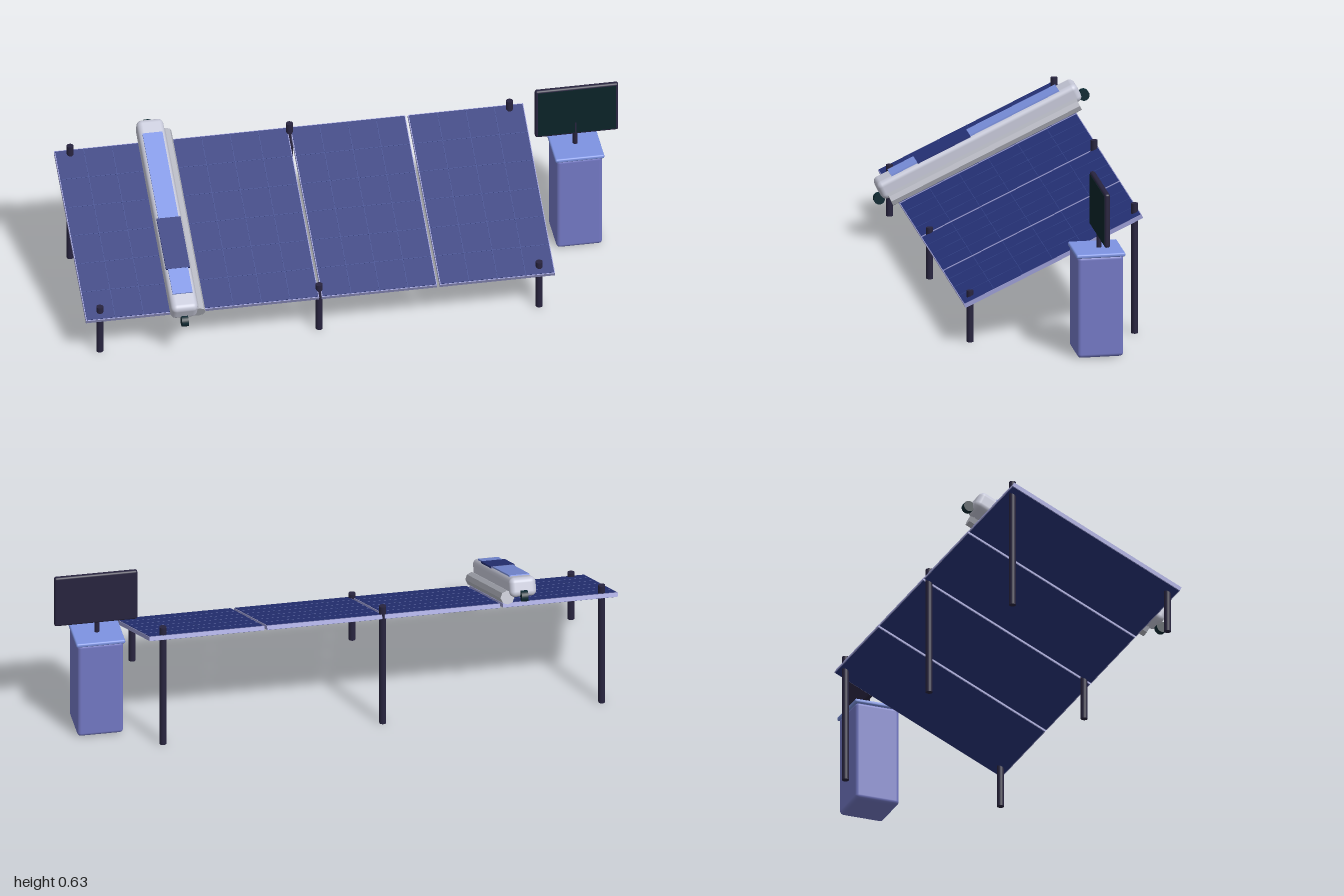
import * as THREE from 'three';
import { RoundedBoxGeometry } from 'three/addons/geometries/RoundedBoxGeometry.js';

const mat = (name, color) => {
  const m = new THREE.MeshStandardMaterial({ color });
  m.name = name;
  return m;
};

export function createModel() {
  const navy = mat('cell navy', 0x27337a);
  const line = mat('cell line blue', 0x35468f);
  const lavender = mat('frame lavender', 0x9a9cd2);
  const silver = mat('shell silver', 0xc6c8d8);
  const grey = mat('brush grey', 0xb2b4be);
  const blue = mat('cover blue', 0x7d93e2);
  const violet = mat('cabinet violet', 0x7378c4);
  const dark = mat('post dark', 0x28243f);
  const teal = mat('wheel teal', 0x0e2a33);
  const black = mat('screen black', 0x0a2328);

  const add = (parent, name, geo, material, x, y, z) => {
    const m = new THREE.Mesh(geo, material);
    m.name = name;
    m.position.set(x, y, z);
    parent.add(m);
    return m;
  };
  const box = (w, h, d) => new THREE.BoxGeometry(w, h, d);
  const round = (w, h, d, r) => new RoundedBoxGeometry(w, h, d, 4, r);

  const model = new THREE.Group();
  model.name = 'solarArray';

  // Everything lying on the slope; y = 0 here is the panel underside
  const slope = new THREE.Group();
  slope.name = 'slope';
  slope.position.set(0, 0.289, -0.017);
  slope.rotation.x = THREE.MathUtils.degToRad(25);
  model.add(slope);

  // Four panels: frame, cell sheets on both faces, fine cell lines
  const W = 0.415, L = 0.706, cw = 0.409, cl = 0.7;
  for (let i = 0; i < 4; i++) {
    const panel = new THREE.Group();
    panel.name = 'panel';
    panel.position.x = -1 + W / 2 + i * 0.425;
    slope.add(panel);
    add(panel, 'panelFrame', box(W, 0.015, L), lavender, 0, 0.0085, 0);
    add(panel, 'cellSheet', box(cw, 0.002, cl), navy, 0, 0.0165, 0);
    add(panel, 'backSheet', box(cw, 0.002, cl), navy, 0, 0.001, 0);
    for (let c = 1; c < 4; c++)
      add(panel, 'cellLine', box(0.0018, 0.001, cl), line, (c / 4 - 0.5) * cw, 0.0176, 0);
    for (let r = 1; r < 6; r++)
      add(panel, 'cellLine', box(cw, 0.001, 0.0018), line, 0, 0.0176, (r / 6 - 0.5) * cl);
  }

  // Cleaning robot across the panels
  const robot = new THREE.Group();
  robot.name = 'cleaningRobot';
  robot.position.x = -0.656;
  slope.add(robot);
  add(robot, 'robotShell', round(0.097, 0.07, 0.795, 0.02), silver, 0, 0.072, 0);
  add(robot, 'topCover', box(0.072, 0.008, 0.667), blue, 0, 0.107, 0);
  add(robot, 'topSolarStrip', box(0.086, 0.007, 0.21), navy, 0, 0.1085, 0.125);
  const brush = add(robot, 'brush', new THREE.CylinderGeometry(0.025, 0.025, 0.75, 8).toNonIndexed(), grey, 0.056, 0.037, 0);
  brush.geometry.computeVertexNormals();
  brush.rotation.x = Math.PI / 2;
  for (const s of [-1, 1]) {
    const wheel = add(robot, 'wheel', new THREE.CylinderGeometry(0.02, 0.02, 0.024, 24), teal, 0, 0.041, s * 0.407);
    wheel.rotation.z = Math.PI / 2;
  }

  // Short front posts and tall back posts
  for (const x of [-0.945, -0.155, 0.638])
    for (const [name, z, h] of [['frontPost', 0.278, 0.189], ['backPost', -0.315, 0.48]])
      add(model, name, new THREE.CylinderGeometry(0.0125, 0.0125, h, 20), dark, x, h / 2, z);

  // Control cabinet with lid, stem and display
  const cabinet = new THREE.Group();
  cabinet.name = 'controlCabinet';
  cabinet.position.set(0.845, 0, -0.14);
  model.add(cabinet);
  add(cabinet, 'cabinetBody', round(0.166, 0.375, 0.166, 0.014), violet, 0, 0.19, 0);
  add(cabinet, 'cabinetLid', round(0.177, 0.015, 0.177, 0.006), blue, 0, 0.38, 0);
  add(cabinet, 'displayStem', new THREE.CylinderGeometry(0.009, 0.009, 0.1, 16), dark, 0, 0.43, -0.008);
  add(cabinet, 'displayCase', round(0.3, 0.199, 0.02, 0.008), dark, 0.005, 0.5275, -0.011);
  add(cabinet, 'displayScreen', box(0.282, 0.182, 0.002), black, 0.005, 0.5275, -0.0005);

  return model;
}
